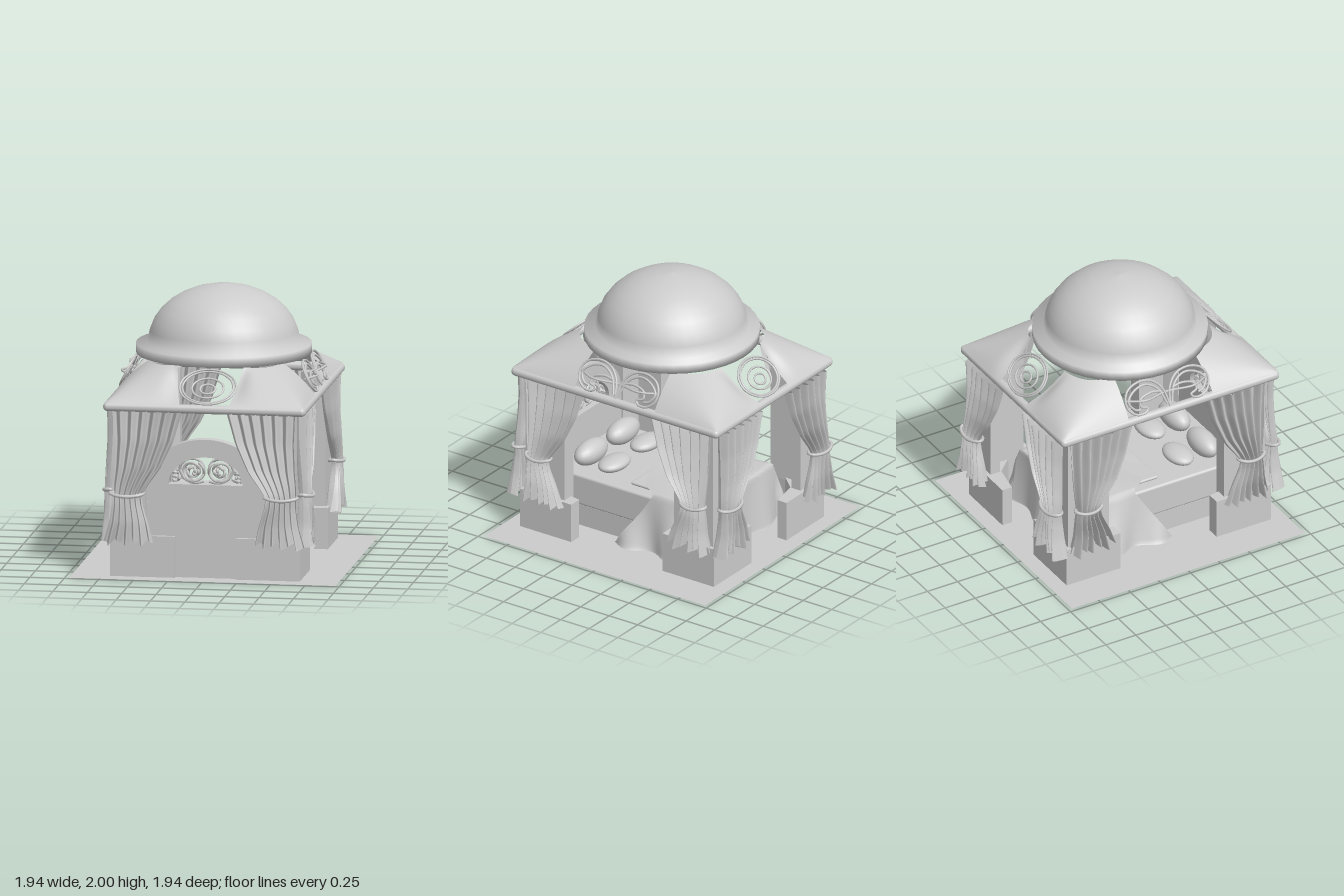
import * as THREE from 'three';
import { RoundedBoxGeometry } from 'three/addons/geometries/RoundedBoxGeometry.js';

const mat = new THREE.MeshStandardMaterial({ color: 0xcccccc });
const thin = new THREE.MeshStandardMaterial({ color: 0xcccccc, side: THREE.DoubleSide });
const V2 = (a) => a.map(([x, y]) => new THREE.Vector2(x, y));
const lerp = THREE.MathUtils.lerp;
const SIGNS = [-1, 1];

export function createModel() {
  const root = new THREE.Group();
  const add = (name, geo, material = mat, parent = root) => {
    const m = new THREE.Mesh(geo, material);
    m.name = name;
    parent.add(m);
    return m;
  };

  // grid surface from a rule f(u, v) -> [x, y, z]
  const surface = (nu, nv, f) => {
    const g = new THREE.PlaneGeometry(1, 1, nu, nv);
    const p = g.attributes.position;
    for (let i = 0; i < p.count; i++) p.setXYZ(i, ...f(p.getX(i) + 0.5, p.getY(i) + 0.5));
    g.computeVertexNormals();
    return g;
  };
  const tube = (pts, r, closed = false) => new THREE.TubeGeometry(
    new THREE.CatmullRomCurve3(pts.map((p) => new THREE.Vector3(...p)), closed), pts.length * 6, r, 6, closed);
  // piecewise linear lookup in rows of [y, inner, outer]
  const rows = (table, y, k) => {
    let i = 0;
    while (i < table.length - 2 && y < table[i + 1][0]) i++;
    const a = table[i], b = table[i + 1];
    return lerp(a[k], b[k], THREE.MathUtils.clamp((a[0] - y) / (a[0] - b[0]), 0, 1));
  };
  // upright prism from an x/z outline
  const prism = (outline, sx, sz, y0, y1) => {
    const shape = new THREE.Shape(V2(outline.map(([x, z]) => [x * sx, -z * sz])));
    const g = new THREE.ExtrudeGeometry(shape, { depth: y1 - y0, bevelEnabled: false });
    return g.rotateX(-Math.PI / 2).translate(0, y0, 0);
  };

  // floor sheet
  add('floor', new THREE.PlaneGeometry(1.94, 1.94).rotateX(-Math.PI / 2), thin);

  // corner plinths and posts
  const plinth = [[0.69, 0.85], [0.22, 0.85], [0.22, 0.77], [0.44, 0.73], [0.56, 0.6], [0.59, 0.4], [0.69, 0.4]];
  const post = [[0.66, 0.82], [0.44, 0.82], [0.44, 0.74], [0.55, 0.68], [0.55, 0.48], [0.66, 0.48]];
  for (const sx of SIGNS) for (const sz of SIGNS) {
    add('plinth', prism(plinth, sx, sz, 0, 0.3));
    add('post', prism(post, sx, sz, 0.28, 1.23));
  }

  // rounded rail under the roof
  for (const s of SIGNS) {
    add('railAcross', new RoundedBoxGeometry(1.47, 0.064, 0.064, 4, 0.03)).position.set(0, 1.242, s * 0.875);
    add('railAlong', new RoundedBoxGeometry(0.064, 0.064, 1.8, 4, 0.03)).position.set(s * 0.705, 1.242, 0);
  }

  // roof corners: flat at the tip, swelling up to the round collar and dipping beside the end windows
  const topCurve = new THREE.QuadraticBezierCurve(...V2([[0.24, 0.6], [0.46, 0.56], [0.47, 0.33]]));
  for (const sx of SIGNS) for (const sz of SIGNS) {
    add('roofCorner', surface(40, 16, (u, v) => {
      const bx = u < 0.5 ? lerp(0.18, 0.72, u * 2) : 0.72;
      const bz = u < 0.5 ? 0.9 : lerp(0.9, 0.35, u * 2 - 1);
      const t = topCurve.getPoint(u);
      const x = lerp(bx, t.x, v), z = lerp(bz, t.y, v);
      const hx = (0.72 - x) / 0.26, hz = (0.9 - z) / 0.3;
      const rise = Math.min(1, 1.5 * hx * hz / (hx + hz + 1e-6));
      const dip = 0.05 * Math.exp(-((u / 0.1) ** 2)) * Math.sin(Math.PI * v);
      return [sx * x, 1.272 + 0.24 * rise - dip, sz * z];
    }), thin);
  }

  // dome flowing into its collar
  const profile = [[0.52, 1.5], [0.632, 1.5], [0.632, 1.57], [0.55, 1.578]];
  for (let i = 1; i <= 7; i++) {
    const a = (i / 8) * Math.PI / 2;
    profile.push([0.545 * Math.cos(a), 1.582 + 0.414 * Math.sin(a)]);
  }
  profile.push([0, 2]);
  add('dome', new THREE.LatheGeometry(V2(profile), 40), thin);

  // ringed grilles in the front and back roof windows
  for (const s of SIGNS) for (const r of [1, 0.9, 0.56, 0.27]) {
    const pts = [];
    for (let i = 0; i < 12; i++) {
      const a = (i / 12) * Math.PI * 2;
      const h = Math.sin(a) * r * 0.106 - (1 - r) * 0.018;
      pts.push([Math.cos(a) * r * 0.205 + 0.008, 1.385 + h, s * (0.765 - h * 1.05)]);
    }
    add('windowRing', tube(pts, 0.008, true));
  }

  // winged scrolls in the side roof windows, laid on the roof slope
  const wing = [[0.0, 1.28], [0.03, 1.4], [0.1, 1.47], [0.2, 1.49], [0.3, 1.46], [0.34, 1.4], [0.33, 1.33],
    [0.27, 1.285], [0.2, 1.285], [0.18, 1.31], [0.23, 1.33], [0.22, 1.375], [0.13, 1.4], [0.05, 1.39]];
  const inner = [[0.02, 1.3], [0.07, 1.41], [0.16, 1.46], [0.26, 1.44], [0.32, 1.38], [0.28, 1.32], [0.24, 1.31]];
  for (const sx of SIGNS) {
    for (const sz of SIGNS) for (const path of [wing, inner]) {
      add('sideScroll', tube(path.map(([z, y]) => [sx * (0.72 - (y - 1.27) * 0.5), y, sz * z]), 0.009));
    }
    add('scrollBar', tube([[sx * 0.64, 1.38, -0.34], [sx * 0.71, 1.385, -0.2], [sx * 0.66, 1.37, 0],
      [sx * 0.71, 1.385, 0.2], [sx * 0.64, 1.38, 0.34]], 0.009));
  }

  // tied curtains: rows of [height, inner edge, outer edge]
  const across = [[1.22, 0.16, 0.66], [1, 0.225, 0.65], [0.8, 0.32, 0.66], [0.69, 0.4, 0.67], [0.61, 0.45, 0.67],
    [0.53, 0.44, 0.67], [0.4, 0.4, 0.69], [0.26, 0.37, 0.73]];
  const along = [[1.22, 0.3, 0.81], [1, 0.36, 0.8], [0.8, 0.45, 0.79], [0.69, 0.53, 0.78], [0.61, 0.585, 0.77],
    [0.53, 0.57, 0.78], [0.4, 0.51, 0.79], [0.26, 0.46, 0.82]];
  const curtain = (name, table, place) => {
    const g = new THREE.Group();
    g.name = name;
    root.add(g);
    const point = (u, v) => {
      const y = lerp(0.26, 1.22, v);
      const fold = Math.sin(u * Math.PI * 12 + Math.sin(v * 5) * 0.5) + 0.25 * Math.sin(u * 9 + v * 4);
      const wrap = 0.03 * Math.sin(u * Math.PI) * (1 - Math.min(1, Math.abs(y - 0.61) * 2));
      const amp = y > 0.61 ? lerp(0.025, 0.042, (y - 0.61) / 0.61) : lerp(0.025, 0.055, (0.61 - y) / 0.35);
      const s = lerp(rows(table, y, 1), rows(table, y, 2), u);
      return place(s, y + (1 - v) ** 8 * 0.02 * Math.sin(u * 19), fold * amp + wrap - 0.01);
    };
    add('drape', surface(96, 28, point), thin, g);
    const a = rows(table, 0.61, 1) - 0.012, b = rows(table, 0.61, 2) + 0.012, ring = [];
    for (let i = 0; i < 16; i++) {
      const t = (i / 16) * Math.PI * 2;
      ring.push(place((a + b) / 2 + Math.cos(t) * (b - a) / 2, 0.61 + 0.008 * Math.cos(t * 2), Math.sin(t) * 0.055));
    }
    add('tieBand', tube(ring, 0.013, true), mat, g);
  };
  for (const sx of SIGNS) for (const sz of SIGNS) {
    curtain('endCurtain', across, (s, y, d) => [sx * s, y, sz * (0.905 + d)]);
    curtain('sideCurtain', along, (s, y, d) => [sx * (0.705 + d), y, sz * s]);
  }

  // arched headboard with an open lunette
  const board = new THREE.Shape();
  board.moveTo(-0.44, 0).lineTo(0.44, 0).lineTo(0.42, 0.68);
  board.absellipse(0, 0.68, 0.42, 0.33, 0, Math.PI, false, 0);
  board.lineTo(-0.44, 0);
  const hole = new THREE.Path();
  hole.moveTo(0.27, 0.68);
  hole.absellipse(0, 0.68, 0.27, 0.2, 0, Math.PI, false, 0);
  board.holes.push(hole);
  add('headboard', new THREE.ExtrudeGeometry(board, { depth: 0.08, bevelEnabled: false, curveSegments: 16 })).position.z = 0.74;

  // scrollwork in the lunette
  for (const s of SIGNS) {
    const swirl = (cx, cy, r, turns, start) => {
      const pts = [];
      for (let i = 0; i <= 28; i++) {
        const a = start + (i / 28) * Math.PI * 2 * turns, k = r * (1 - 0.85 * i / 28);
        pts.push([s * (cx + Math.cos(a) * k), cy + Math.sin(a) * k, 0.78 + 0.015 * Math.sin(i)]);
      }
      return tube(pts, 0.011);
    };
    add('lunetteSwirl', swirl(0.1, 0.775, 0.098, 2.6, 0));
    add('lunetteSwirl', swirl(0.085, 0.765, 0.075, 1.6, 2));
    add('lunetteCurl', swirl(0.225, 0.725, 0.04, 1.3, 1));
    add('lunetteTail', tube([[s * 0.02, 0.7, 0.78], [s * 0.09, 0.69, 0.79], [s * 0.16, 0.72, 0.78],
      [s * 0.2, 0.78, 0.78], [s * 0.25, 0.74, 0.78], [s * 0.255, 0.69, 0.78]], 0.012));
  }

  // bed
  add('bedBase', new THREE.BoxGeometry(0.85, 0.165, 1.3)).position.set(0, 0.0825, 0.1);
  add('mattress', new RoundedBoxGeometry(0.86, 0.24, 1.32, 3, 0.02)).position.set(0, 0.28, 0.1);

  // pillows
  const pillow = (x, y, z, w, h, d, tilt) => {
    const m = add('pillow', new THREE.SphereGeometry(1, 24, 16));
    m.geometry.scale(w, h, d);
    m.position.set(x, y, z);
    m.rotation.x = tilt;
  };
  for (const s of SIGNS) {
    pillow(s * 0.2, 0.448, 0.365, 0.15, 0.052, 0.1, 0.05);
    pillow(s * 0.2, 0.48, 0.57, 0.17, 0.09, 0.09, 0.3);
  }

  // blanket: cloth bent softly over the mattress edges down to the floor
  add('blanket', surface(64, 48, (u, v) => {
    const p = (u * 2 - 1) * 0.86, side = Math.sign(p), ox = Math.max(0, Math.abs(p) - 0.44);
    const front = ox > 0 ? lerp(-0.15, 0.12, ox / 0.42) : lerp(0.1, -0.15, (Math.abs(p) / 0.44) ** 3);
    const q = lerp(-1, front, v), oz = Math.max(0, -q - 0.575);
    const x = Math.min(Math.abs(p), 0.44) + ox * 0.3 + ox * 0.09 * Math.sin(q * 17 + ox * 4);
    const z = Math.max(q, -0.575) - oz * 0.12 - oz * 0.06 * Math.sin(p * 16);
    const drop = Math.max(ox, oz);
    const puff = 0.02 * THREE.MathUtils.clamp(-q / 0.5, 0, 1) * Math.exp(-drop * 6);
    return [side * x, Math.max(0.025, 0.43 + puff - drop + 0.006 * Math.sin(p * 9 + q * 11)), z];
  }), thin);
  add('blanketFold', new RoundedBoxGeometry(0.7, 0.025, 0.27, 3, 0.012)).position.set(0, 0.415, -0.02);

  return root;
}
